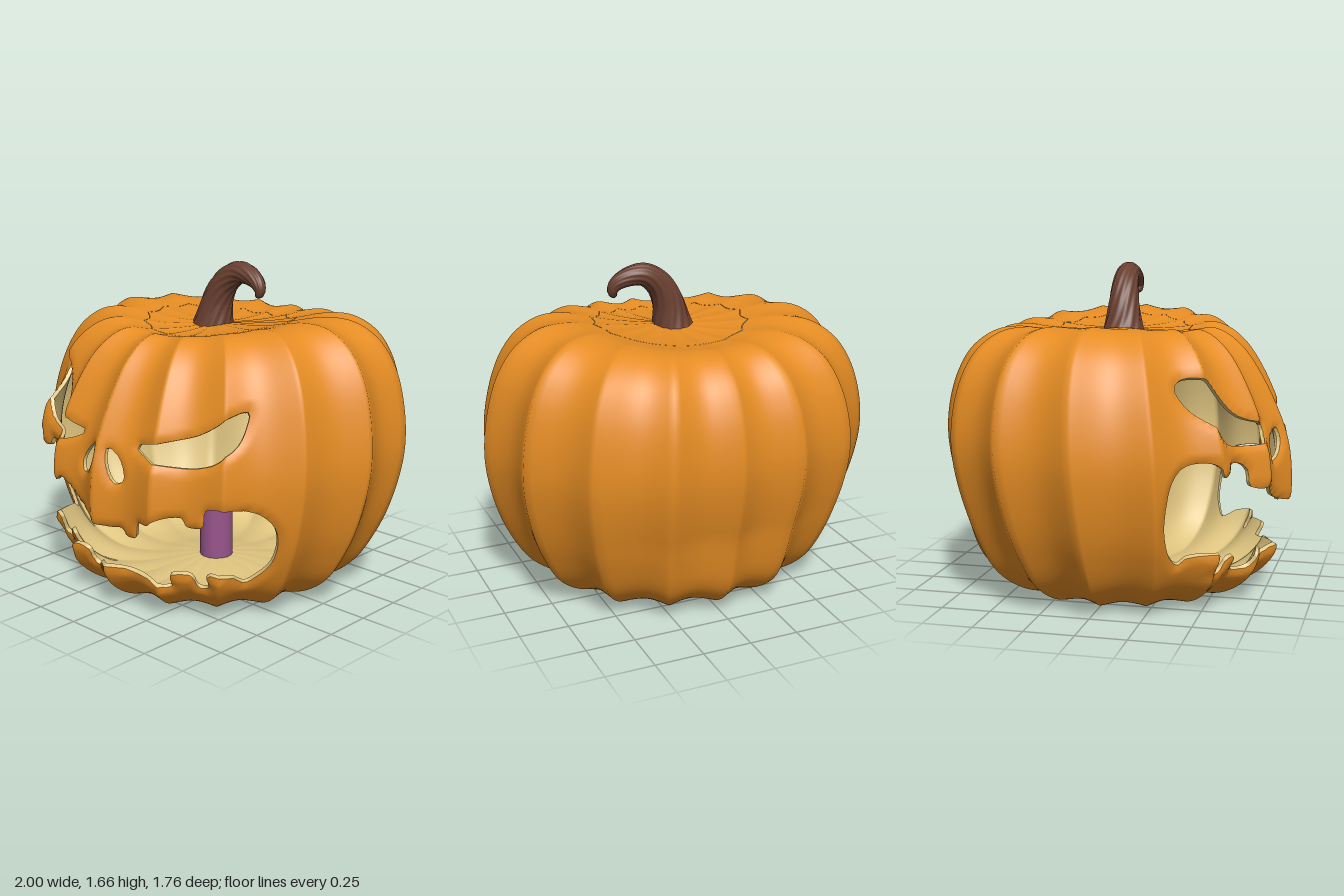
import * as THREE from 'three';
import { mergeVertices } from 'three/addons/utils/BufferGeometryUtils.js';

const ORANGE = 0xe68d24, CREAM = 0xdcc27e, STEM = 0x6a4030, WAX = 0x98558c;
const CENTER = new THREE.Vector3(0, 0.7, 0);
const { smoothstep, clamp } = THREE.MathUtils;
const V = (x, y, z = 0) => new THREE.Vector3(x, y, z);

// Closed outlines (x, y pairs) of the carved openings
const EYE_R = [-.65, .98, -.67, 1.06, -.665, 1.12, -.6, 1.165, -.54, 1.15, -.49, 1.085, -.4, .96, -.3, .915, -.18, .88,
  -.25, .84, -.33, .82, -.43, .82, -.57, .855];
const EYE_L = [.19, .88, .33, .92, .47, .96, .57, 1.02, .65, 1.085, .665, 1.01, .655, .91, .6, .85, .47, .81, .33, .83];
const NOSE_R = [-.05, .855, -.04, .79, -.085, .715, -.14, .695, -.155, .75, -.11, .82];
const NOSE_L = [.04, .855, .1, .82, .14, .75, .145, .705, .1, .685, .06, .74];
const MOUTH = [-.74, .765, -.67, .77, -.64, .7, -.57, .71, -.56, .745, -.47, .74, -.43, .7, -.42, .62, -.35, .6, -.32, .63,
  -.26, .6, -.18, .535, -.07, .485, .06, .46, .14, .46, .155, .43, .22, .43, .245, .515, .315, .52, .36, .555, .45, .565,
  .465, .525, .545, .53, .56, .615, .63, .635, .72, .605, .785, .52, .785, .43, .74, .32, .66, .235, .61, .2, .6, .255,
  .52, .255, .51, .185, .45, .175, .44, .24, .36, .245, .34, .17, .22, .2, 0, .225, -.12, .185, -.15, .16, -.18, .185,
  -.19, .25, -.3, .25, -.32, .18, -.39, .185, -.41, .255, -.46, .255, -.49, .195, -.56, .205, -.57, .3, -.65, .3,
  -.665, .265, -.745, .335, -.81, .465, -.82, .59, -.8, .695];

const HOLES = [EYE_R, EYE_L, NOSE_R, NOSE_L, MOUTH].map((a) => {
  const pts = [];
  for (let i = 0; i < a.length; i += 2) pts.push(V(a[i], a[i + 1]));
  return new THREE.CatmullRomCurve3(pts, true, 'centripetal').getPoints(pts.length * 4).slice(0, -1);
});

// Signed distance to the nearest opening: negative inside it
function openingDistance(p) {
  if (p.z < 0.05) return 1;
  let best = 1;
  for (const poly of HOLES) {
    let inside = false, near = 1;
    for (let i = 0, j = poly.length - 1; i < poly.length; j = i++) {
      const a = poly[i], b = poly[j], ex = b.x - a.x, ey = b.y - a.y, wx = p.x - a.x, wy = p.y - a.y;
      const k = clamp((wx * ex + wy * ey) / (ex * ex + ey * ey || 1), 0, 1);
      near = Math.min(near, Math.hypot(wx - k * ex, wy - k * ey));
      if ((a.y > p.y) !== (b.y > p.y) && p.x < a.x + (ex * wy) / ey) inside = !inside;
    }
    best = Math.min(best, inside ? -near : near);
  }
  return best;
}

// Side profile (radius, height) from the bottom centre to the top centre
const PROFILE = new THREE.CatmullRomCurve3([[0, .06], [.2, .035], [.4, .005], [.58, .02], [.76, .13], [.885, .32], [.96, .52],
  [1, .76], [.98, .98], [.92, 1.17], [.83, 1.3], [.7, 1.38], [.55, 1.395], [.4, 1.37], [.25, 1.35], [0, 1.335]]
  .map(([r, y]) => V(r, y)));

// Ribbed skin: 16 pointed ridges with soft valleys; the front slopes back
// towards the top, the back is fuller and broader
function skinPoint(theta, t) {
  const { x: r0, y: y0 } = PROFILE.getPointAt(t), r = Math.max(0, r0);
  const valley = Math.abs(Math.sin(8 * theta)), sin = Math.sin(theta), cos = Math.cos(theta);
  const high = smoothstep(y0, 0.7, 1.2), lidFlat = 0.13 * high * (1 - smoothstep(r, 0.4, 0.7));
  const squash = cos > 0
    ? (0.16 * y0 - lidFlat) * cos ** 1.5
    : (0.14 - 0.13 * (1 - smoothstep(y0, 0, 0.5)) - lidFlat * 0.5) * cos ** 4;
  const rr = r * (1 - 0.065 * valley) * (1 - squash);
  const y = 0.7 + (y0 - 0.7) * (1 - 0.03 * valley * r) + high * (0.022 * sin * rr - 0.05 * cos * cos * Math.min(1, r / 0.5));
  return V(sin * rr + 0.012 * high * (1 - r), y, cos * rr + r * (0.02 - 0.06 * y0));
}

// Rib angles, with finer steps across the carved front half
const ANGLES = [];
for (let rib = -8; rib < 8; rib++) {
  const n = rib >= -4 && rib < 4 ? 24 : 10;
  for (let k = 0; k < n; k++) ANGLES.push(((rib + k / n) * Math.PI) / 8);
}

function mesh(name, geometry, color) {
  const m = new THREE.Mesh(geometry, new THREE.MeshStandardMaterial({ color }));
  m.name = name;
  return m;
}

function fromTriangles(list) {
  const pos = new Float32Array(list.length * 3);
  list.forEach((p, i) => p.toArray(pos, i * 3));
  const g = new THREE.BufferGeometry();
  g.setAttribute('position', new THREE.BufferAttribute(pos, 3));
  const merged = mergeVertices(g, 1e-5);
  merged.computeVertexNormals();
  return merged;
}

// Keep the part of a triangle outside the openings; the cut becomes a wall
function clip(tri, outer, inner, wall) {
  const poly = [], cut = [];
  tri.forEach((a, i) => {
    const b = tri[(i + 1) % 3];
    if (a.d >= 0) poly.push(a);
    if ((a.d >= 0) !== (b.d >= 0)) {
      // interpolate in a fixed direction so neighbours share the same point
      const [s, e] = a.d >= 0 ? [a, b] : [b, a], k = s.d / (s.d - e.d);
      const c = { o: s.o.clone().lerp(e.o, k), i: s.i.clone().lerp(e.i, k) };
      poly.push(c);
      cut[a.d >= 0 ? 0 : 1] = c;
    }
  });
  for (let k = 1; k + 1 < poly.length; k++) {
    const [a, b, c] = [poly[0], poly[k], poly[k + 1]];
    outer.push(a.o, b.o, c.o);
    inner.push(c.i, b.i, a.i);
  }
  if (cut[0] && cut[1]) {
    const [p, q] = cut;
    wall.push(q.o, p.o, p.i, q.o, p.i, q.i);
  }
}

// Shell between two profile positions: outer skin, inner flesh and cut edges
function buildShell(name, t0, t1, rows, carved) {
  const grid = [];
  for (let j = 0; j <= rows; j++) {
    grid.push(ANGLES.map((theta) => {
      const p = skinPoint(theta, t0 + ((t1 - t0) * j) / rows);
      const d = carved ? openingDistance(p) : 1;
      const edge = 1 - Math.min(1, Math.max(0, d) / 0.03);
      const at = (s) => p.clone().sub(CENTER).multiplyScalar(s).add(CENTER);
      return { o: at(1 - 0.018 * edge * edge), i: at(0.962), d };
    }));
  }
  const outer = [], inner = [], wall = [], n = ANGLES.length;
  for (let j = 0; j < rows; j++) {
    for (let i = 0; i < n; i++) {
      const a = grid[j][i], b = grid[j][(i + 1) % n], c = grid[j + 1][(i + 1) % n], d = grid[j + 1][i];
      // single triangles where the rows close at the bottom and top centre
      if (t0 > 0 || j > 0) clip([a, b, c], outer, inner, wall);
      if (t1 < 1 || j < rows - 1) clip([a, c, d], outer, inner, wall);
    }
  }
  const g = new THREE.Group();
  g.name = name;
  g.add(mesh(name + 'Skin', fromTriangles(outer), ORANGE), mesh(name + 'Flesh', fromTriangles(inner), CREAM));
  if (wall.length) g.add(mesh(name + 'CutEdges', fromTriangles(wall), CREAM));
  return g;
}

// Curled stem with fine twisted flutes, tapering to the tip
function buildStem() {
  const path = new THREE.CatmullRomCurve3([[-.02, 1.32, -.01], [.01, 1.46, -.015], [.06, 1.55, -.02], [.14, 1.605, -.025],
    [.22, 1.6, -.02], [.285, 1.565, -.01], [.3, 1.525, -.005], [.28, 1.5, 0]].map((p) => V(...p)));
  const rings = 64, sides = 72;
  const g = new THREE.TubeGeometry(path, rings, 1, sides);
  const pos = g.attributes.position, v = V(0, 0);
  for (let k = 0; k < pos.count; k++) {
    const u = Math.floor(k / (sides + 1)) / rings, phi = ((k % (sides + 1)) / sides) * Math.PI * 2;
    const center = path.getPointAt(u);
    const radius = 0.083 * (1 - u) ** 0.42 + 0.022 * (1 - u) ** 6;
    v.fromBufferAttribute(pos, k).sub(center).multiplyScalar(radius * (1 + 0.03 * Math.cos(12 * phi + 24 * u)));
    v.add(center);
    pos.setXYZ(k, v.x, v.y, v.z);
  }
  g.deleteAttribute('uv');
  g.deleteAttribute('normal');
  const merged = mergeVertices(g, 1e-5);
  merged.computeVertexNormals();
  return mesh('stem', merged, STEM);
}

export function createModel() {
  const model = new THREE.Group();
  model.name = 'carvedPumpkin';

  // The lid seam sits where the profile narrows at the top
  let seam = 1;
  while (PROFILE.getPointAt(seam).x < 0.405) seam -= 0.001;
  model.add(buildShell('body', 0, seam, 92, true), buildShell('lid', seam + 0.0008, 1, 12, false), buildStem());

  // Candle standing on the floor inside
  const candle = mesh('candle', new THREE.CylinderGeometry(0.087, 0.087, 0.28, 32), WAX);
  candle.position.set(0.01, 0.21, 0);
  const wick = mesh('wick', new THREE.CylinderGeometry(0.006, 0.006, 0.03, 8), STEM);
  wick.position.set(0.01, 0.36, 0);
  model.add(candle, wick);
  return model;
}
